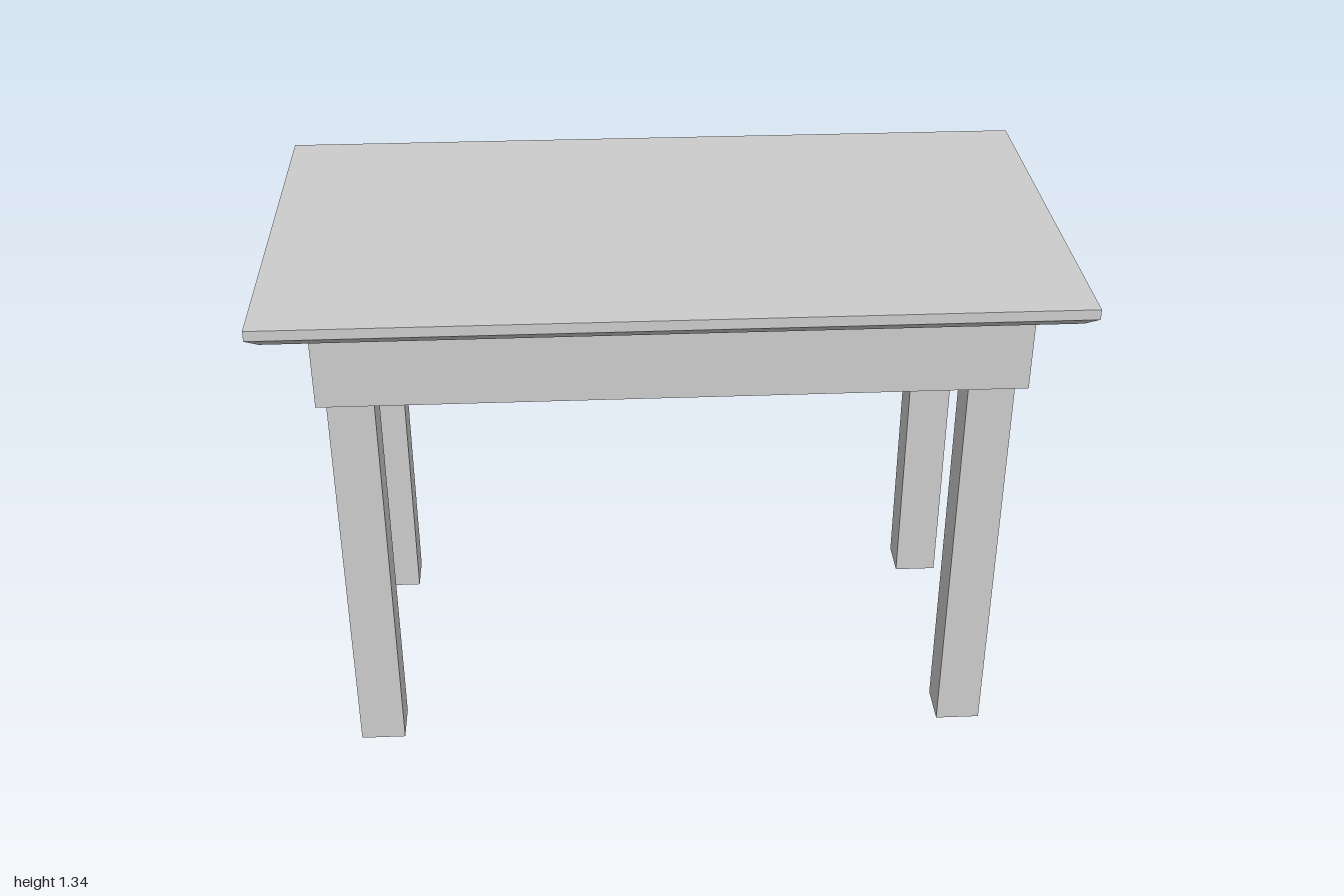
import * as THREE from 'three';

const material = new THREE.MeshStandardMaterial({ color: 0xcccccc, flatShading: true });

function box(name, w, h, d, x, y, z, heightSegments = 1) {
  const mesh = new THREE.Mesh(new THREE.BoxGeometry(w, h, d, 1, heightSegments, 1), material);
  mesh.name = name;
  mesh.position.set(x, y + h / 2, z); // y is the underside
  return mesh;
}

export function createModel() {
  const table = new THREE.Group();
  table.name = 'table';

  // Tabletop: square upper edge, lower half bevelled inward
  const top = box('tabletop', 2, 0.053, 1.092, 0, 1.29, 0, 2);
  const p = top.geometry.attributes.position;
  for (let i = 0; i < p.count; i++) {
    if (p.getY(i) < -0.01) {
      p.setX(i, Math.sign(p.getX(i)) * 0.972);
      p.setZ(i, Math.sign(p.getZ(i)) * 0.514);
    }
  }
  top.geometry = top.geometry.toNonIndexed();
  top.geometry.computeVertexNormals();
  table.add(top);

  // Solid apron under the top
  table.add(box('apron', 1.748, 0.219, 0.872, 0.004, 1.071, 0.001));

  // Four square legs, set slightly in from the apron corners
  for (const [side, x] of [['Left', 0.794], ['Right', -0.79]]) {
    for (const [end, z] of [['front', 0.349], ['back', -0.358]]) {
      table.add(box(`${end}${side}Leg`, 0.117, 1.071, 0.111, x, 0, z));
    }
  }
  return table;
}
